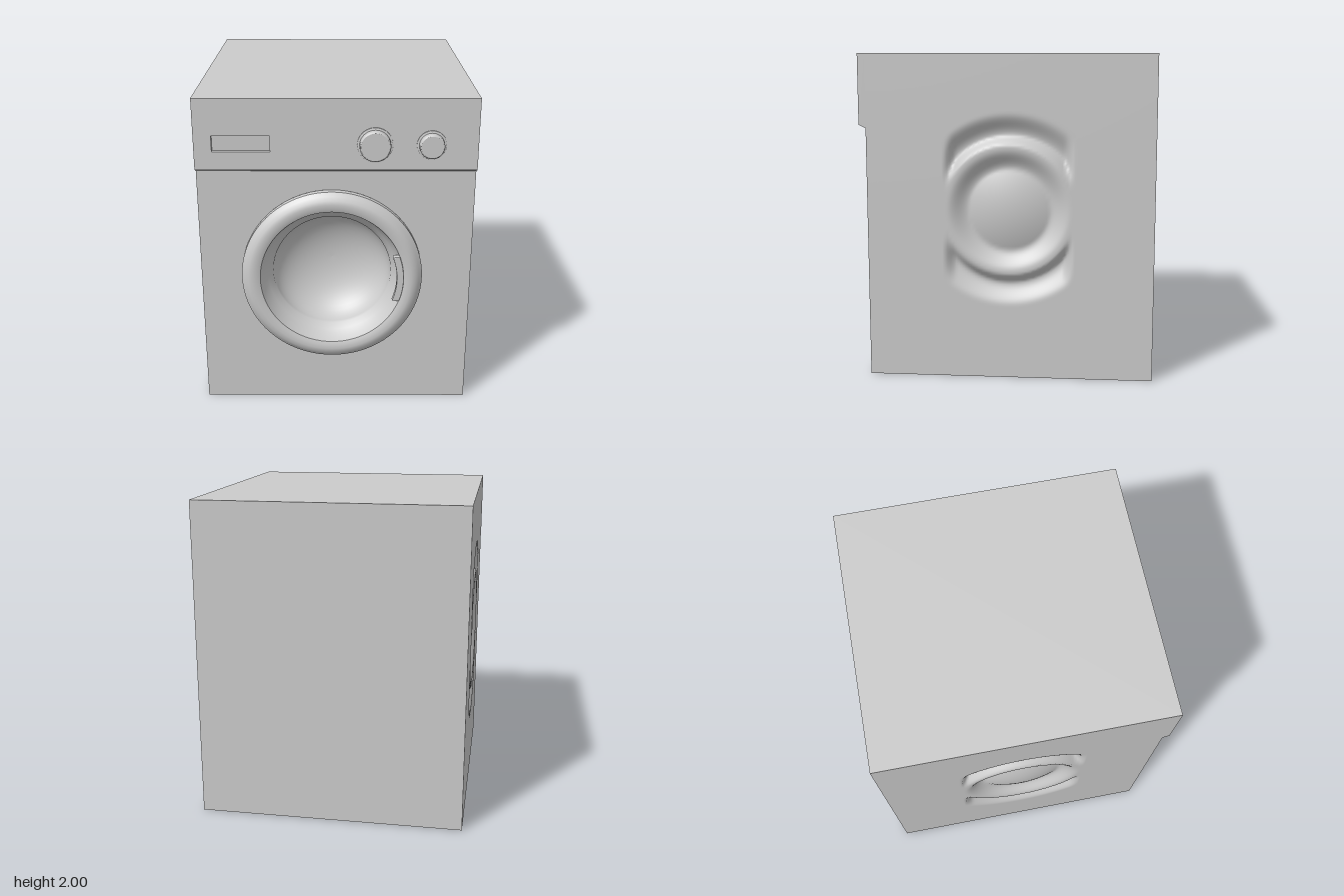
import * as THREE from 'three';

const W = 0.83, BACK = -0.925, FRONT = 0.833, PANEL = 0.876, SPLIT = 1.55, TOP = 2;
const DOOR = { x: -0.025, y: 0.877, r: 0.553 };

export function createModel() {
  const group = new THREE.Group();
  const grey = new THREE.MeshStandardMaterial({ color: 0xcccccc, side: THREE.DoubleSide });

  const add = (name, geometry, x = 0, y = 0, z = 0, parent = group) => {
    const mesh = new THREE.Mesh(geometry, grey);
    mesh.name = name;
    mesh.position.set(x, y, z);
    parent.add(mesh);
  };
  const rect = (x0, y0, x1, y1, Type = THREE.Shape) => new Type([
    new THREE.Vector2(x0, y0), new THREE.Vector2(x1, y0),
    new THREE.Vector2(x1, y1), new THREE.Vector2(x0, y1)]);
  // Profile of [radius, z] points turned around the z axis, from the back outward to the front
  const turned = (points, segments = 64) =>
    new THREE.LatheGeometry(points.map(([r, z]) => new THREE.Vector2(r, z)), segments).rotateX(Math.PI / 2);

  // Flat casing sheets; the underside is open
  const frontShape = rect(-W, 0, W, SPLIT);
  const doorHole = new THREE.Path();
  doorHole.absarc(DOOR.x, DOOR.y, DOOR.r, 0, Math.PI * 2, true);
  frontShape.holes.push(doorHole);
  add('frontWall', new THREE.ShapeGeometry(frontShape, 64), 0, 0, FRONT);
  add('backWall', new THREE.PlaneGeometry(2 * W, TOP).rotateY(Math.PI), 0, TOP / 2, BACK);
  add('topPlate', new THREE.PlaneGeometry(2 * W, PANEL - BACK).rotateX(-Math.PI / 2), 0, TOP, (PANEL + BACK) / 2);

  // Control panel with a sloped lower lip and a sunken drawer
  const panelShape = rect(-W, SPLIT + 0.02, W, TOP);
  panelShape.holes.push(rect(-0.725, 1.68, -0.385, 1.776, THREE.Path));
  add('controlPanel', new THREE.ShapeGeometry(panelShape), 0, 0, PANEL);
  const step = PANEL - FRONT;
  const lip = new THREE.PlaneGeometry(2 * W, Math.hypot(step, 0.02)).rotateX(Math.atan2(step, 0.02));
  add('panelLip', lip, 0, SPLIT + 0.01, (FRONT + PANEL) / 2);
  const recess = 0.025, drawerX = -0.555, drawerY = 1.728;
  add('drawerFace', new THREE.PlaneGeometry(0.34, 0.096), drawerX, drawerY, PANEL - recess);
  for (const s of [-1, 1]) {
    add('drawerRecessEdge', new THREE.PlaneGeometry(0.34, recess).rotateX(s * Math.PI / 2), drawerX, drawerY + s * 0.048, PANEL - recess / 2);
    add('drawerRecessEnd', new THREE.PlaneGeometry(recess, 0.096).rotateY(-s * Math.PI / 2), drawerX + s * 0.17, drawerY, PANEL - recess / 2);
  }

  // Knobs on thin collars
  for (const [x, r] of [[0.228, 0.105], [0.557, 0.087]]) {
    add('knob', turned([
      [r, 0], [r, 0.007], [r, 0.007], [r - 0.013, 0.01], [r - 0.013, 0.01], [r - 0.014, 0.04],
      [r - 0.016, 0.047], [r - 0.022, 0.05], [r - 0.022, 0.05], [0, 0.05]], 48), x, 1.723, PANEL);
  }

  // Flat side walls with pressed grooves that leave a dome, a ring and two cut-off arcs standing
  const groove = (r, valley, inner, outer) => {
    const t = Math.min(Math.abs(r - valley) / (r < valley ? inner : outer), 1);
    return 0.5 + 0.5 * Math.cos(Math.PI * t);
  };
  const depthAt = (y, z) => {
    const dz = z + 0.04, r = Math.hypot(dz, y - 1.052);
    if (r < 0.25) return 0.01 + 0.045 * (r / 0.25) ** 2;
    const cut = THREE.MathUtils.clamp((0.39 - Math.abs(dz)) / 0.05, 0, 1);
    return 0.055 * (groove(r, 0.25, 0.13, 0.13) + cut * groove(r, 0.46, 0.065, 0.135));
  };
  for (const side of [-1, 1]) {
    const wall = new THREE.PlaneGeometry(FRONT - BACK, TOP, 110, 124);
    wall.rotateY(side * Math.PI / 2).translate(0, TOP / 2, (FRONT + BACK) / 2);
    const p = wall.attributes.position;
    for (let i = 0; i < p.count; i++) p.setX(i, side * (W - depthAt(p.getY(i), p.getZ(i))));
    wall.computeVertexNormals();
    add('sideWall', wall);

    // End cap of the control panel
    const cap = new THREE.Shape([[FRONT, SPLIT], [PANEL, SPLIT + 0.02], [PANEL, TOP], [FRONT, TOP]]
      .map(([z, y]) => new THREE.Vector2(-side * z, y)));
    add('panelEnd', new THREE.ShapeGeometry(cap).rotateY(side * Math.PI / 2), side * W);
  }

  // Round door: chamfered rim, conical throat and a bowl bulging into the casing
  const door = new THREE.Group();
  door.name = 'door';
  door.position.set(DOOR.x, DOOR.y, 0);
  group.add(door);
  add('doorRim', turned([
    [DOOR.r, FRONT], [DOOR.r, 0.872], [DOOR.r, 0.872], [0.532, 0.893], [0.51, 0.912], [0.485, 0.915],
    [0.46, 0.914], [0.438, 0.905]], 80), 0, 0, 0, door);
  const throat = [[0.438, 0.905], [0.425, 0.87], [0.395, 0.82]];
  for (let i = 0; i <= 14; i++) {
    const a = (i / 14) * Math.PI / 2;
    throat.push([0.365 * Math.cos(a), 0.79 - 0.22 * Math.sin(a)]);
  }
  add('doorBowl', turned(throat, 80), 0, 0, 0, door);

  // Slim curved grip set into the inner edge of the rim
  const grip = new THREE.Shape();
  grip.absarc(0, 0, 0.434, -0.34, 0.34, false);
  grip.absarc(0, 0, 0.402, 0.36, -0.36, true);
  grip.closePath();
  add('doorHandle', new THREE.ExtrudeGeometry(grip, {
    depth: 0.03, curveSegments: 16, bevelSize: 0.005, bevelThickness: 0.005, bevelSegments: 2,
  }), 0, 0, 0.88, door);

  return group;
}
